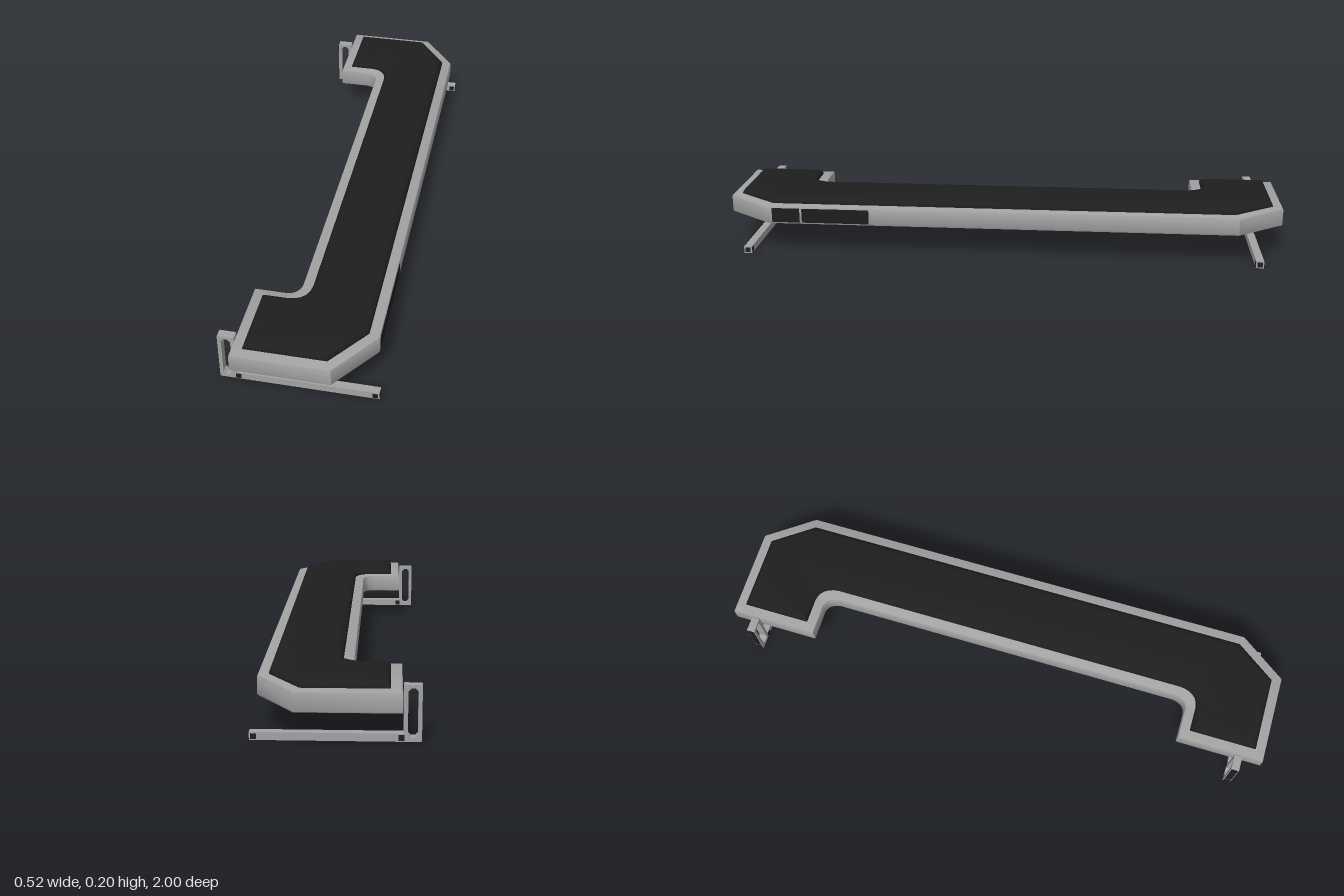
import * as THREE from 'three';
import { toCreasedNormals } from 'three/addons/utils/BufferGeometryUtils.js';

const grey = new THREE.MeshStandardMaterial({ name: 'satin grey', color: 0xa3a3a3 });
const black = new THREE.MeshStandardMaterial({ name: 'soft black', color: 0x1e1e1e });

// Plan outline of the C-shaped board, moved inward by d
function outline(d) {
  const bend = new THREE.QuadraticBezierCurve(
    new THREE.Vector2(-0.05 + d, 0.64 + 0.4 * d),
    new THREE.Vector2(-0.055 + d, 0.685 + d),
    new THREE.Vector2(-0.09 + 0.4 * d, 0.69 + d)
  ).getPoints(6);
  const half = [
    ...bend,
    new THREE.Vector2(-0.2 + d, 0.69 + d),
    new THREE.Vector2(-0.2 + d, 1 - d),
    new THREE.Vector2(0.12 - 0.51 * d, 1 - d),
    new THREE.Vector2(0.24 - d, 0.835 - 0.33 * d),
  ];
  const mirrored = half.map((p) => new THREE.Vector2(p.x, -p.y)).reverse();
  return new THREE.Shape([...half, ...mirrored]);
}

// Horizontal slab from y0 to y1 with bevelled rims that stay inside the outline
function slab(name, material, inset, y0, y1, bevel = 0, bevelHeight = bevel, segments = 2) {
  const geometry = new THREE.ExtrudeGeometry(outline(inset), {
    depth: y1 - y0 - 2 * bevelHeight,
    bevelEnabled: bevel > 0,
    bevelSize: bevel,
    bevelOffset: -bevel,
    bevelThickness: bevelHeight,
    bevelSegments: segments,
  });
  geometry.rotateX(-Math.PI / 2).translate(0, y0 + bevelHeight, 0);
  const mesh = new THREE.Mesh(toCreasedNormals(geometry, 0.6), material);
  mesh.name = name;
  return mesh;
}

// Box given by its lower and upper corners
function box(name, material, a, b) {
  const mesh = new THREE.Mesh(
    new THREE.BoxGeometry(b[0] - a[0], b[1] - a[1], b[2] - a[2]), material);
  mesh.position.set((a[0] + b[0]) / 2, (a[1] + b[1]) / 2, (a[2] + b[2]) / 2);
  mesh.name = name;
  return mesh;
}

// Rectangle path with cut corners
function cutRect(path, x0, y0, x1, y1, c) {
  path.setFromPoints([
    [x0 + c, y0], [x1 - c, y0], [x1, y0 + c], [x1, y1 - c],
    [x1 - c, y1], [x0 + c, y1], [x0, y1 - c], [x0, y0 + c],
  ].map(([x, y]) => new THREE.Vector2(x, y)));
  path.closePath();
  return path;
}

// Slotted upright with a long foot bar and black inserts
function makeLeg() {
  const leg = new THREE.Group();
  leg.name = 'leg';
  const t = 0.014;

  const frame = cutRect(new THREE.Shape(), -0.258, 0.002, -0.203, 0.178, 0.002);
  frame.holes.push(cutRect(new THREE.Path(), -0.246, 0.015, -0.216, 0.167, 0.009));
  const upright = new THREE.Mesh(
    new THREE.ExtrudeGeometry(frame, { depth: 2 * t, bevelEnabled: false }), grey);
  upright.position.z = -t;
  upright.name = 'slottedUpright';
  leg.add(upright);

  leg.add(box('footBar', grey, [-0.204, 0.002, -t], [0.257, 0.027, t]));
  leg.add(box('footPad', black, [-0.25, 0, -0.011], [0.25, 0.003, 0.011]));
  leg.add(box('upperOuterStrip', black, [-0.26, 0.04, -0.011], [-0.257, 0.172, 0.011]));
  leg.add(box('lowerOuterStrip', black, [-0.26, 0.006, -0.011], [-0.257, 0.03, 0.011]));
  leg.add(box('barEndInsert', black, [0.256, 0.006, -0.009], [0.2585, 0.023, 0.009]));

  // Square inserts on both faces of the bar
  for (const x of [-0.197, 0.244]) {
    leg.add(box('squareInsert', black,
      [x - 0.009, 0.005, -t - 0.001], [x + 0.009, 0.023, t + 0.001]));
  }
  return leg;
}

export function createModel() {
  const model = new THREE.Group();
  model.name = 'padded bench';

  // Board with its domed cushion
  model.add(slab('board', grey, 0, 0.112, 0.178, 0.006));
  model.add(slab('cushion', black, 0.035, 0.156, 0.2, 0.026, 0.021, 4));

  // Underside panel framed by a black seam
  model.add(slab('undersideSeam', black, 0.03, 0.1105, 0.114));
  model.add(slab('undersidePanel', grey, 0.045, 0.109, 0.113));

  // Black panels on the straight side
  model.add(box('shortSidePanel', black, [0.237, 0.119, 0.72], [0.2415, 0.171, 0.82]));
  model.add(box('longSidePanel', black, [0.237, 0.119, 0.47], [0.2415, 0.171, 0.712]));

  // One leg near each end
  for (const side of [-1, 1]) {
    const leg = makeLeg();
    leg.position.z = side * 0.912;
    model.add(leg);
  }
  return model;
}
